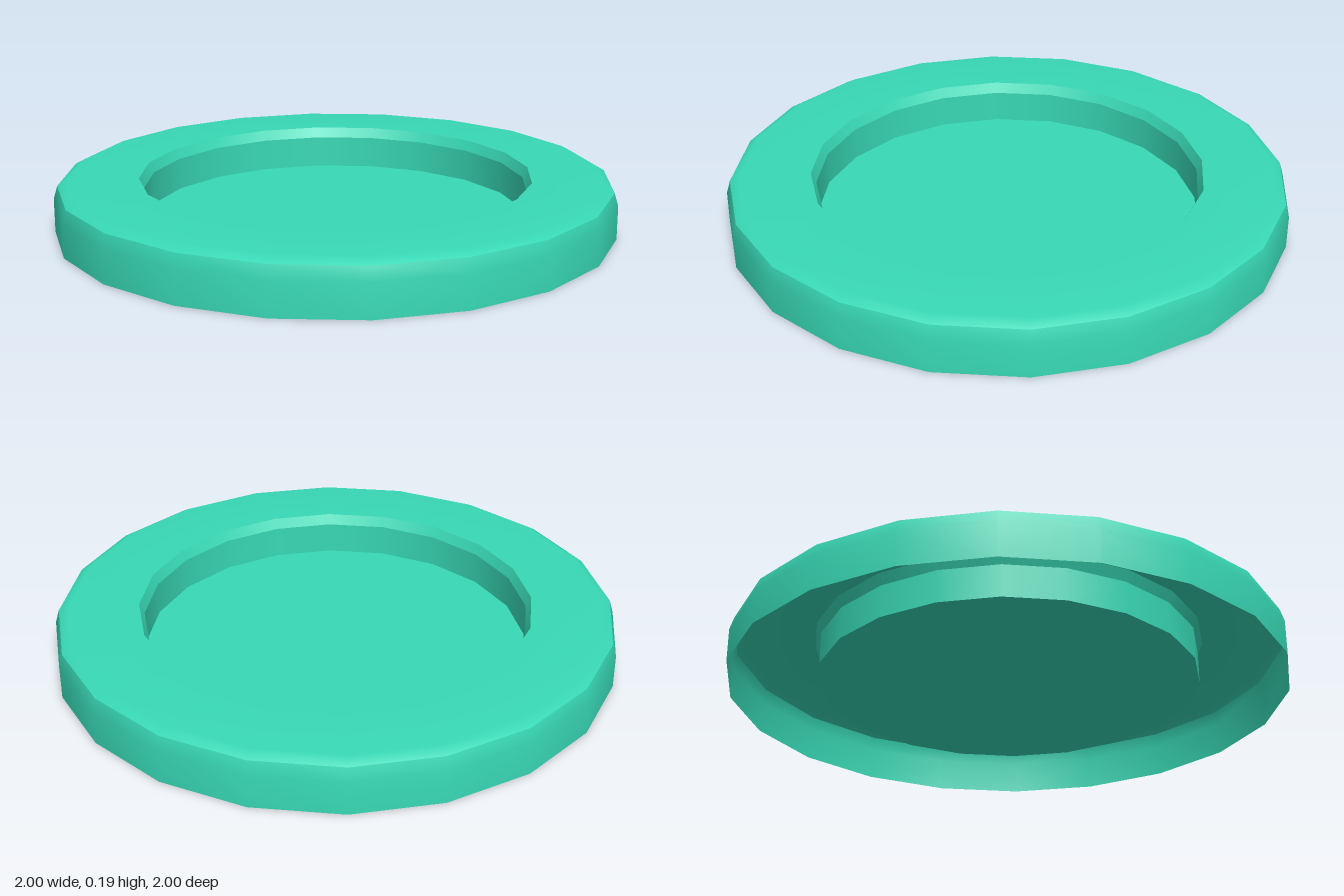
import * as THREE from 'three';

const SIDES = 20;

export function createModel() {
  const group = new THREE.Group();
  group.name = 'recessedDisc';
  const material = new THREE.MeshStandardMaterial({ color: 0x38d9b6, side: THREE.DoubleSide });

  // Each band is smooth within itself; the joins between bands stay sharp
  const addBand = (name, profile) => {
    const points = profile.map(([r, y]) => new THREE.Vector2(r, y));
    const mesh = new THREE.Mesh(new THREE.LatheGeometry(points, SIDES), material);
    mesh.name = name;
    group.add(mesh);
  };

  // Outer skirt, open underneath, leaning in near the top
  addBand('outerWall', [[1, 0], [1, 0.12], [0.986, 0.167]]);
  // Rounded shoulder and flat ring
  addBand('topRing', [[0.986, 0.167], [0.95, 0.187], [0.7, 0.187]]);
  // Recess: sloped lip, wall and floor
  addBand('recessLip', [[0.7, 0.187], [0.683, 0.15]]);
  addBand('recessWall', [[0.683, 0.15], [0.683, 0.033]]);
  addBand('recessFloor', [[0.683, 0.033], [0, 0.033]]);

  return group;
}
